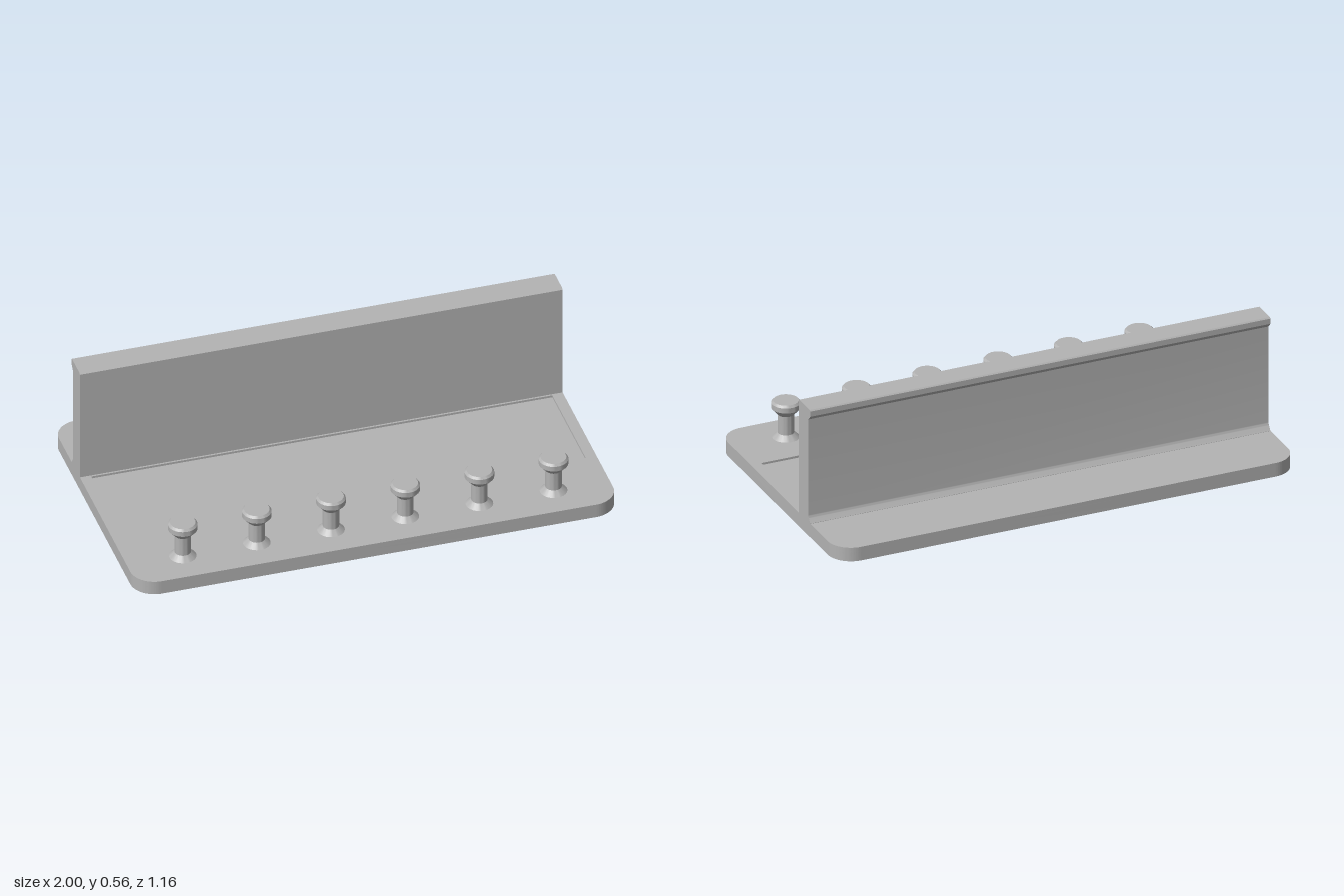
import * as THREE from 'three';
import { toCreasedNormals } from 'three/addons/utils/BufferGeometryUtils.js';

const HALF_X = 1, HALF_Z = 0.58, CORNER = 0.1;

// Plan outline of the base; shape y runs towards the back (-z).
function plateShape() {
  const s = new THREE.Shape();
  const x = HALF_X - CORNER, y = HALF_Z - CORNER;
  s.absarc(x, y, CORNER, 0, Math.PI / 2);
  s.absarc(-x, y, CORNER, Math.PI / 2, Math.PI);
  s.absarc(-x, -y, CORNER, Math.PI, Math.PI * 1.5);
  s.absarc(x, -y, CORNER, Math.PI * 1.5, Math.PI * 2);
  s.closePath();
  return s;
}

function roundHole(x, z, r) {
  const p = new THREE.Path();
  p.absarc(x, -z, r, 0, Math.PI * 2, true);
  return p;
}

// Round entry with a narrower slot running towards the back
function keyhole(x, z) {
  const p = new THREE.Path();
  const r = 0.034, w = 0.016, a = Math.acos(w / r);
  p.absarc(x, -z, r, a, Math.PI - a, true);
  p.absarc(x, -z + 0.07, w, Math.PI, 0, true);
  p.closePath();
  return p;
}

// Horizontal slab between two heights
function slab(shape, y0, y1) {
  const g = new THREE.ExtrudeGeometry(shape, { depth: y1 - y0, bevelEnabled: false, curveSegments: 16 });
  g.rotateX(-Math.PI / 2).translate(0, y0, 0);
  return toCreasedNormals(g, 0.5);
}

export function createModel() {
  const model = new THREE.Group();
  model.name = 'peg rail stand';
  const gray = new THREE.MeshStandardMaterial({ color: 0xb3b3b3 });
  gray.name = 'plain gray';

  const add = (geometry, name, parent = model) => {
    const mesh = new THREE.Mesh(geometry, gray);
    mesh.name = name;
    parent.add(mesh);
    return mesh;
  };

  const pegXs = [-0.768, -0.461, -0.154, 0.154, 0.461, 0.768];
  const pegZ = 0.434;

  // Base: drilled underside, solid core, top layer with a shallow tray
  const base = new THREE.Group();
  base.name = 'base';
  model.add(base);
  const drilled = plateShape();
  for (const x of pegXs) drilled.holes.push(roundHole(x, pegZ, 0.021));
  for (const x of [-0.733, -0.245, 0.245, 0.733]) drilled.holes.push(roundHole(x, -0.245, 0.021));
  for (const x of [-0.733, 0.733]) drilled.holes.push(keyhole(x, -0.415));
  add(slab(drilled, 0, 0.04), 'baseUnderside', base);
  add(slab(plateShape(), 0.04, 0.051), 'baseCore', base);

  const rim = plateShape();
  const tray = new THREE.Path();
  tray.setFromPoints([[-0.955, -0.26], [-0.955, 0.192], [0.955, 0.192], [0.955, -0.26]]
    .map(([x, y]) => new THREE.Vector2(x, y)));
  tray.closePath();
  rim.holes.push(tray);
  add(slab(rim, 0.051, 0.06), 'baseTop', base);

  // Upright wall: side profile with a back lip and a flared foot (shape x = -z)
  const p = new THREE.Shape();
  p.moveTo(0.2, 0.055);
  p.lineTo(0.312, 0.055);
  p.lineTo(0.312, 0.061);
  p.lineTo(0.298, 0.078);
  p.quadraticCurveTo(0.293, 0.084, 0.293, 0.094);
  p.lineTo(0.293, 0.514);
  p.lineTo(0.312, 0.534);
  p.lineTo(0.312, 0.557);
  p.lineTo(0.307, 0.562);
  p.lineTo(0.206, 0.562);
  p.lineTo(0.2, 0.556);
  p.closePath();
  const wall = new THREE.ExtrudeGeometry(p, { depth: 2 * HALF_X, bevelEnabled: false, curveSegments: 5 });
  wall.rotateY(Math.PI / 2).translate(-HALF_X, 0, 0);
  add(toCreasedNormals(wall, 0.5), 'backWall');

  // Pegs: flared foot, stem, conical collar and chamfered head
  const profile = [[0.055, 0.058], [0.055, 0.06], [0.033, 0.081], [0.033, 0.162], [0.059, 0.191],
    [0.059, 0.213], [0.051, 0.222], [0, 0.222]].map(([r, y]) => new THREE.Vector2(r, y));
  const pegGeometry = toCreasedNormals(new THREE.LatheGeometry(profile, 40), 0.5);
  const pegs = new THREE.Group();
  pegs.name = 'pegs';
  model.add(pegs);
  for (const x of pegXs) add(pegGeometry, 'peg', pegs).position.set(x, 0, pegZ);

  return model;
}
